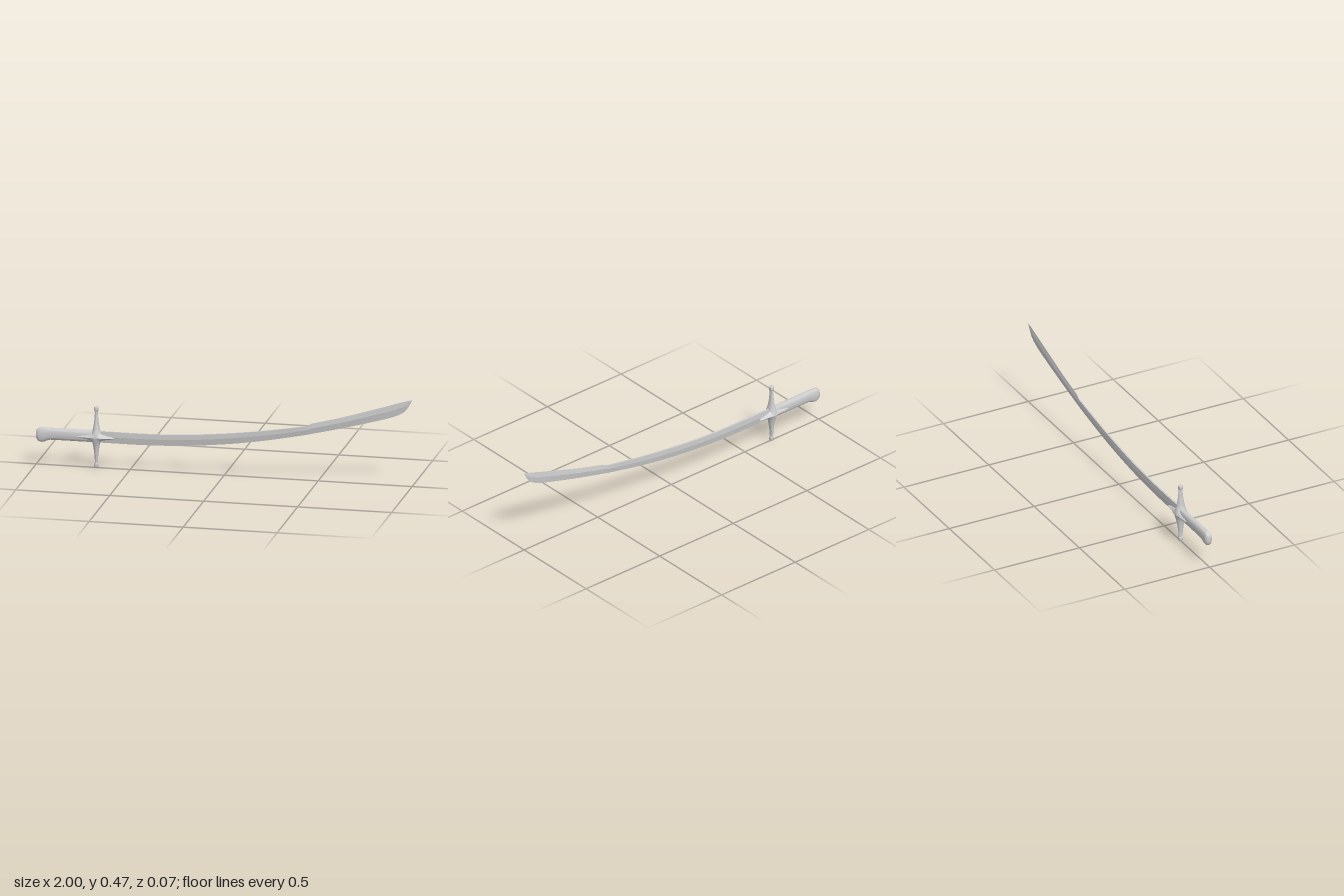
import * as THREE from 'three';
import { toCreasedNormals } from 'three/addons/utils/BufferGeometryUtils.js';

const material = new THREE.MeshStandardMaterial({ color: 0xcccccc });
const GUARD_X = -0.68, GUARD_Y = 0.166;

// Skin a row of closed cross-sections, cap both ends, and face it outward
function loft(name, sections, crease = 0.7) {
  const n = sections[0].length, pts = sections.flat(), index = [];
  for (let i = 0; i < sections.length - 1; i++) {
    for (let j = 0; j < n; j++) {
      const a = i * n + j, b = i * n + (j + 1) % n;
      index.push(a, b, b + n, a, b + n, a + n);
    }
  }
  const last = (sections.length - 1) * n;
  for (let j = 1; j < n - 1; j++) {
    index.push(0, j + 1, j, last, last + j, last + j + 1);
  }
  let volume = 0;
  const v = index.map(i => new THREE.Vector3(...pts[i]));
  for (let i = 0; i < v.length; i += 3) volume += v[i].dot(v[i + 1].clone().cross(v[i + 2]));
  if (volume < 0) index.reverse();
  const geo = new THREE.BufferGeometry();
  geo.setAttribute('position', new THREE.Float32BufferAttribute(pts.flat(), 3));
  geo.setIndex(index);
  geo.computeVertexNormals();
  const mesh = new THREE.Mesh(toCreasedNormals(geo, crease), material);
  mesh.name = name;
  return mesh;
}

// Unit superellipse outline
function outline(n, power) {
  return Array.from({ length: n }, (_, i) => {
    const t = (i / n) * Math.PI * 2;
    return [Math.cos(t), Math.sin(t)].map(c => Math.sign(c) * Math.abs(c) ** (2 / power));
  });
}

// Smooth interpolation through rows of numbers, first column as the parameter
function resample(rows, count) {
  const lerp = (x, col) => {
    let i = 0;
    while (i < rows.length - 2 && x > rows[i + 1][0]) i++;
    const slope = k => {
      const a = rows[Math.max(k - 1, 0)], b = rows[Math.min(k + 1, rows.length - 1)];
      return (b[col] - a[col]) / (b[0] - a[0]);
    };
    const p = rows[i], q = rows[i + 1], h = q[0] - p[0], t = (x - p[0]) / h;
    return p[col] * (2 * t ** 3 - 3 * t * t + 1) + q[col] * (3 * t * t - 2 * t ** 3)
      + h * (slope(i) * (t ** 3 - 2 * t * t + t) + slope(i + 1) * (t ** 3 - t * t));
  };
  const x0 = rows[0][0], x1 = rows[rows.length - 1][0];
  return Array.from({ length: count }, (_, k) => {
    const x = x0 + (x1 - x0) * k / (count - 1);
    return [x, ...rows[0].slice(1).map((_, c) => lerp(x, c + 1))];
  });
}

// Curved blade: single edged up to the step, double edged beyond it
function makeBlade() {
  // x, edge y, back y, half thickness
  const body = resample([
    [-0.7, 0.136, 0.198, 0.006], [-0.4, 0.137, 0.198, 0.006], [-0.2, 0.147, 0.206, 0.006],
    [0, 0.167, 0.225, 0.006], [0.2, 0.197, 0.251, 0.005], [0.43, 0.243, 0.29, 0.005],
  ], 36);
  const end = resample([
    [0.47, 0.253, 0.309, 0.005], [0.6, 0.285, 0.343, 0.005], [0.75, 0.325, 0.389, 0.005],
    [0.87, 0.36, 0.427, 0.004], [0.93, 0.383, 0.447, 0.004], [0.97, 0.412, 0.459, 0.003],
    [1, 0.464, 0.467, 0.0005],
  ], 30);
  const section = back => ([x, lo, hi, t]) => {
    const mid = lo + (hi - lo) * 0.55;
    return [[x, lo, 0], [x, mid, t], [x, hi, t * back], [x, hi, -t * back], [x, mid, -t]];
  };
  return loft('blade', [...body.map(section(0.8)), ...end.map(section(0.08))], 0.2);
}

// Grip with its hooked, rounded pommel
function makeGrip() {
  // x, bottom y, top y, half depth
  const rows = [
    [-1, 0.148, 0.176, 0.01], [-0.997, 0.137, 0.186, 0.015], [-0.99, 0.128, 0.194, 0.018],
    [-0.98, 0.123, 0.198, 0.019], [-0.968, 0.122, 0.2, 0.019], [-0.955, 0.125, 0.2, 0.019],
    [-0.943, 0.131, 0.2, 0.019], [-0.925, 0.136, 0.2, 0.018], [-0.9, 0.137, 0.2, 0.018],
    [-0.8, 0.137, 0.2, 0.018], [-0.67, 0.137, 0.199, 0.018],
  ];
  return loft('grip', rows.map(([x, lo, hi, d]) =>
    outline(28, 2.5).map(([a, b]) => [x, (lo + hi) / 2 + a * (hi - lo) / 2, b * d])), 0.9);
}

// Cross guard: vertical quillons with knobs, and pointed langets on both faces
function makeGuard() {
  const guard = new THREE.Group();
  guard.name = 'guard';
  guard.position.set(GUARD_X, GUARD_Y, 0);

  // distance from the centre, half width, half depth
  const arm = resample([
    [0, 0.04, 0.035], [0.015, 0.029, 0.032], [0.035, 0.02, 0.026], [0.06, 0.015, 0.02],
    [0.09, 0.011, 0.0155], [0.12, 0.0085, 0.012], [0.143, 0.008, 0.011],
  ], 18);
  const knob = [
    [0.138, 0.006, 0.008], [0.14, 0.01, 0.011], [0.144, 0.0115, 0.012],
    [0.159, 0.0115, 0.012], [0.164, 0.009, 0.01], [0.166, 0.004, 0.005],
  ];
  // distance from the centre, half height, outer z, inner z
  const langet = resample([
    [0, 0.036, 0.035, 0.01], [0.015, 0.026, 0.0335, 0.011], [0.035, 0.016, 0.031, 0.012],
    [0.06, 0.01, 0.028, 0.013], [0.085, 0.006, 0.025, 0.014], [0.097, 0.002, 0.022, 0.017],
  ], 14);

  for (const s of [1, -1]) {
    const ring = power => ([y, w, d]) => outline(20, power).map(([a, b]) => [a * w, s * y, b * d]);
    guard.add(loft(s > 0 ? 'upperQuillon' : 'lowerQuillon', arm.map(ring(1.8)), 0.8));
    guard.add(loft(s > 0 ? 'upperKnob' : 'lowerKnob', knob.map(ring(2.4)), 0.9));

    const full = [...langet.slice(1).reverse().map(([x, ...r]) => [-x, ...r]), ...langet];
    guard.add(loft(s > 0 ? 'frontLanget' : 'backLanget', full.map(([x, h, out, inn]) => [
      [x, -h, s * inn], [x, -h * 0.8, s * (inn + (out - inn) * 0.45)],
      [x, -h * 0.35, s * (inn + (out - inn) * 0.85)], [x, 0, s * out],
      [x, h * 0.35, s * (inn + (out - inn) * 0.85)],
      [x, h * 0.8, s * (inn + (out - inn) * 0.45)], [x, h, s * inn],
    ]), 0.6));
  }
  return guard;
}

export function createModel() {
  const model = new THREE.Group();
  model.name = 'sabre';
  model.add(makeBlade(), makeGrip(), makeGuard());
  return model;
}
